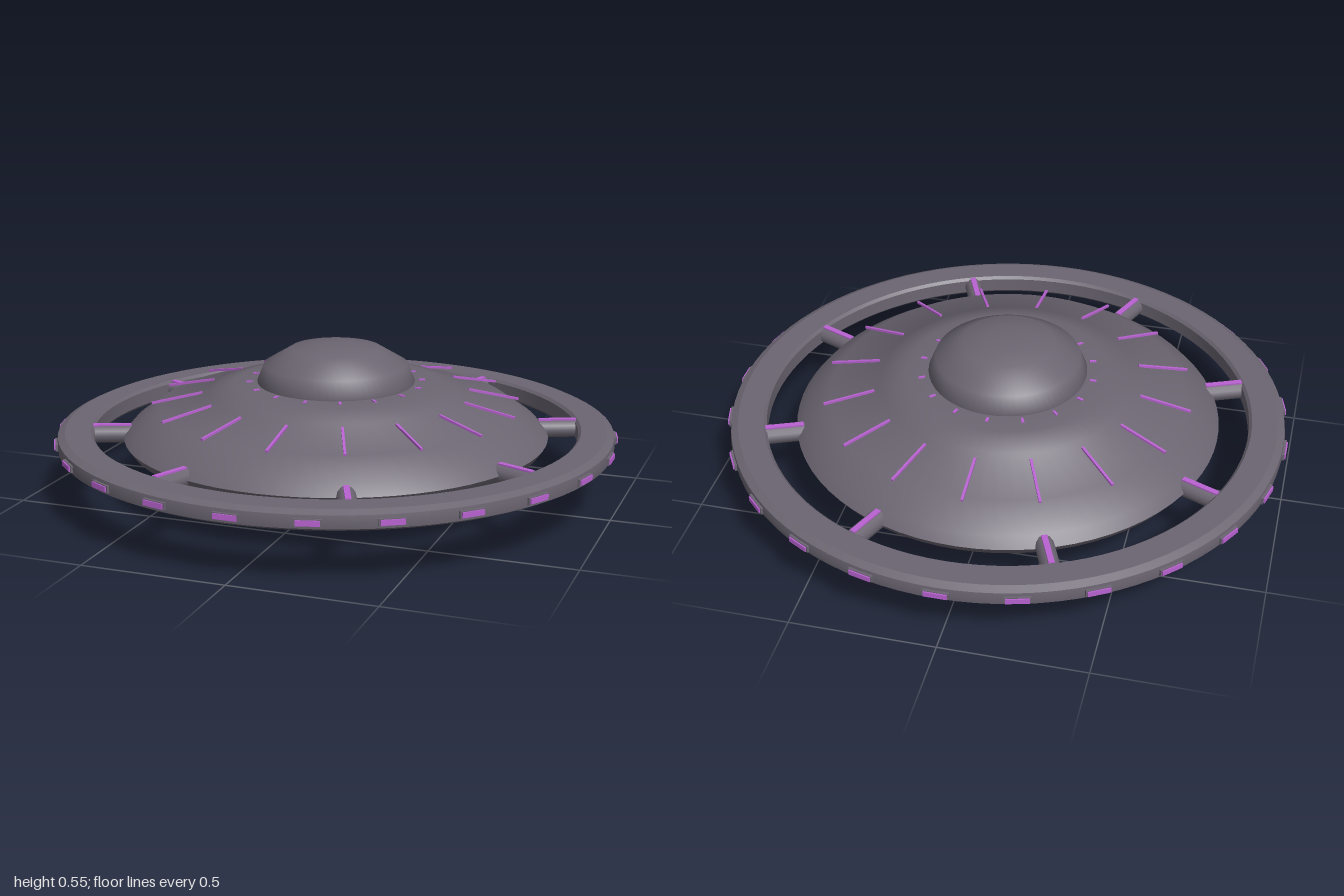
import * as THREE from 'three';
import { toCreasedNormals } from 'three/addons/utils/BufferGeometryUtils.js';

const mat = (name, color) => Object.assign(new THREE.MeshStandardMaterial({ color }), { name });

export function createModel() {
  const model = new THREE.Group();
  model.name = 'flyingSaucer';
  const grey = mat('hullGrey', 0x6b6571);
  const purple = mat('glowPurple', 0xb862d0);
  const red = mat('lampRed', 0xa03c2a);

  const add = (name, geometry, material, parent = model) => {
    const mesh = new THREE.Mesh(geometry, material);
    mesh.name = name;
    parent.add(mesh);
    return mesh;
  };
  // Revolved part from [radius, height] points; sharp edges stay sharp
  const lathe = (name, points, material, crease = 0.6, segments = 72) => add(name, toCreasedNormals(
    new THREE.LatheGeometry(points.map(([r, y]) => new THREE.Vector2(r, y)), segments), crease), material);
  // Group turned about the vertical axis, so its x axis points outward
  const spoke = (name, angle) => {
    const g = new THREE.Group();
    g.name = name;
    g.rotation.y = angle;
    model.add(g);
    return g;
  };
  // Thin bar between two [radius, height] points
  const bar = (name, [r0, y0], [r1, y1], width, thick, material, parent) => {
    const length = Math.hypot(r1 - r0, y1 - y0);
    const mesh = add(name, new THREE.BoxGeometry(length, thick, width), material, parent);
    mesh.position.set((r0 + r1) / 2, (y0 + y1) / 2, 0);
    mesh.rotation.z = Math.atan2(y1 - y0, r1 - r0);
  };
  const around = (count, offset, build) => {
    for (let i = 0; i < count; i++) build((i + offset) * Math.PI * 2 / count);
  };

  // Main disc and dome
  lathe('hull', [[0, 0.03], [0.22, 0.032], [0.27, 0.04], [0.42, 0.07], [0.56, 0.1], [0.73, 0.185],
    [0.755, 0.22], [0.725, 0.255], [0.63, 0.322], [0.452, 0.372], [0.446, 0.38],
    [0.36, 0.402], [0.27, 0.406], [0, 0.406]], grey, 0.9);
  lathe('dome', [[0.275, 0.395], [0.28, 0.41], [0.255, 0.47], [0.16, 0.527], [0.08, 0.54], [0, 0.545]], grey, 1.2);

  // Outer ring
  lathe('outerRing', [[0.86, 0.195], [0.87, 0.185], [0.96, 0.185], [0.985, 0.198], [0.988, 0.22],
    [0.985, 0.243], [0.96, 0.255], [0.87, 0.255], [0.86, 0.245], [0.86, 0.195]], grey, 0.3, 96);

  // Lights around the ring
  around(24, 0, a => {
    const g = spoke('ringLight', a);
    add('lightFrame', new THREE.BoxGeometry(0.014, 0.024, 0.088), grey, g).position.set(0.987, 0.22, 0);
    add('lightLens', new THREE.BoxGeometry(0.014, 0.018, 0.078), purple, g).position.set(0.992, 0.22, 0);
  });

  // Struts joining disc and ring, each with a lit strip
  around(8, 0.5, a => {
    const g = spoke('strut', a);
    const rod = add('strutRod', new THREE.CylinderGeometry(0.033, 0.033, 0.17, 12), grey, g);
    rod.rotation.z = Math.PI / 2;
    rod.position.set(0.795, 0.22, 0);
    bar('strutStrip', [0.73, 0.253], [0.865, 0.253], 0.02, 0.006, purple, g);
  });

  // Glowing strips on the upper and lower hull
  around(16, 0, a => {
    const g = spoke('upperStrips', a);
    bar('hullStrip', [0.475, 0.368], [0.655, 0.331], 0.009, 0.008, purple, g);
    bar('domeTick', [0.295, 0.406], [0.318, 0.405], 0.009, 0.006, purple, g);
  });
  around(12, 0.5, a => bar('lowerStrip', [0.28, 0.041], [0.56, 0.099], 0.007, 0.006, purple, spoke('lowerStrips', a)));

  // Belly port
  lathe('portCollar', [[0.19, 0.03], [0.19, 0.016], [0.2, 0.01], [0.215, 0.01], [0.225, 0.018],
    [0.225, 0.036], [0.2, 0.04]], grey, 0.9);
  lathe('portLens', [[0, 0], [0.1, 0.005], [0.192, 0.017]], red);

  // Rear belly lamps
  for (const side of [-1, 1]) {
    const lamp = add('bellyLamp', new THREE.SphereGeometry(0.034, 16, 10), red);
    lamp.scale.y = 0.6;
    lamp.position.set(0.33 * side, 0.107, -0.475);
  }
  return model;
}
